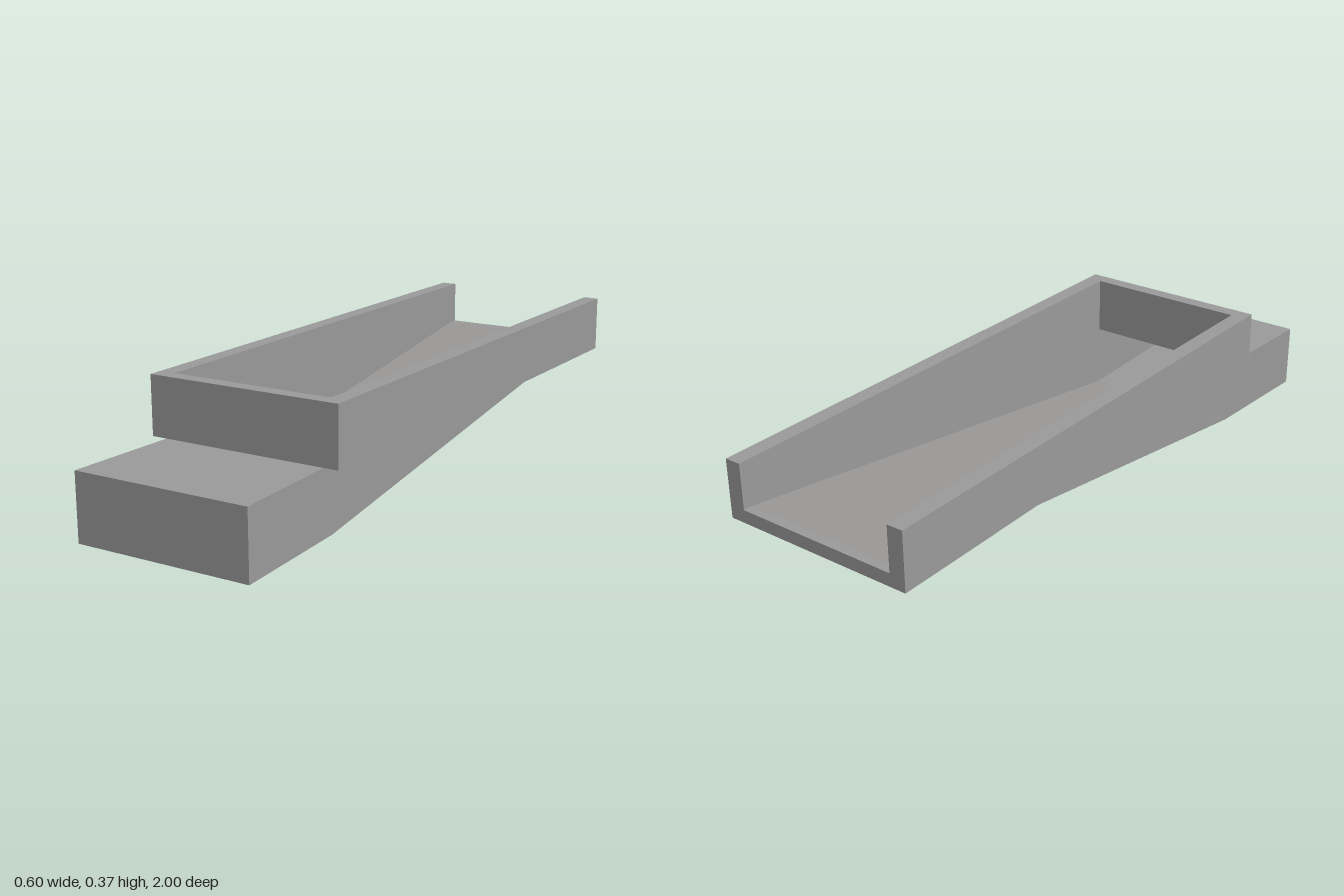
import * as THREE from 'three';

// Flat convex panel from its corner points, fanned from the first corner
function panel(name, material, corners) {
  const pos = [];
  for (let i = 1; i < corners.length - 1; i++) pos.push(...corners[0], ...corners[i], ...corners[i + 1]);
  const geo = new THREE.BufferGeometry();
  geo.setAttribute('position', new THREE.Float32BufferAttribute(pos, 3));
  geo.computeVertexNormals();
  const mesh = new THREE.Mesh(geo, material);
  mesh.name = name;
  return mesh;
}

export function createModel() {
  const grey = new THREE.MeshStandardMaterial({ color: 0x999999, side: THREE.DoubleSide });
  grey.name = 'sheet grey';
  const warm = new THREE.MeshStandardMaterial({ color: 0x9a9696, side: THREE.DoubleSide });
  warm.name = 'floor grey';
  const dark = grey;

  const X = 0.302, XI = 0.253, XF = 0.27;         // outer rim, inner channel, front end half-widths
  const TOP = 0.372, MID = 0.197, LIP = 0.236;    // rim top, rim bottom, back lip heights
  const BACK = -1, FRONT = 0.655, INNER = 0.612, NOSE = 1;
  const CROSS = -0.73, LIPZ = -0.972;             // ramp meets rim bottom, ramp end

  const model = new THREE.Group();
  model.name = 'chuteTray';
  const add = (name, mat, ...c) => model.add(panel(name, mat, c));
  // Panel spanning the full width between two (halfWidth, y, z) lines
  const span = (name, mat, [xa, ya, za], [xb, yb, zb]) =>
    add(name, mat, [-xa, ya, za], [xa, ya, za], [xb, yb, zb], [-xb, yb, zb]);

  // Bottom sheets: flat foot, ramp, small flat lip
  span('footFloor', dark, [XF, 0, NOSE], [XI, 0.003, INNER]);
  span('rampFloor', warm, [XI, 0.003, INNER], [XI, LIP, LIPZ]);
  span('backLip', grey, [XI, LIP, LIPZ], [XI, LIP, BACK]);
  span('backEdge', grey, [X, MID, BACK], [X, LIP, BACK]);

  // Foot box: nose and cover
  span('footNose', grey, [XF, 0, NOSE], [XF, MID, NOSE]);
  span('footCover', grey, [XF, MID, NOSE], [XI, MID, INNER]);

  // Front wall of the rim
  span('frontWallOuter', grey, [X, MID, FRONT], [X, TOP, FRONT]);
  span('frontWallInner', grey, [XI, TOP, INNER], [XI, MID, INNER]);
  span('frontWallTop', grey, [X, TOP, FRONT], [XI, TOP, INNER]);

  // Mirrored sides
  for (const s of [1, -1]) {
    const side = (name, ...pts) => {
      const c = pts.map(([x, y, z]) => [s * x, y, z]);
      add(name, grey, ...(s > 0 ? c : c.reverse()));
    };
    side('footSide', [XF, 0, NOSE], [XI, 0.003, INNER], [XI, MID, INNER], [XF, MID, NOSE]);
    side('rampSide', [XI, 0.003, INNER], [XI, MID, CROSS], [XI, MID, INNER]);
    side('sideWallOuter', [X, MID, FRONT], [X, MID, BACK], [X, TOP, BACK], [X, TOP, FRONT]);
    side('sideWallInner', [XI, TOP, INNER], [XI, TOP, BACK], [XI, LIP, BACK], [XI, LIP, LIPZ],
      [XI, MID, CROSS], [XI, MID, INNER]);
    side('sideWallTop', [X, TOP, FRONT], [X, TOP, BACK], [XI, TOP, BACK], [XI, TOP, INNER]);
    side('sideWallEnd', [X, LIP, BACK], [XI, LIP, BACK], [XI, TOP, BACK], [X, TOP, BACK]);
  }
  return model;
}
